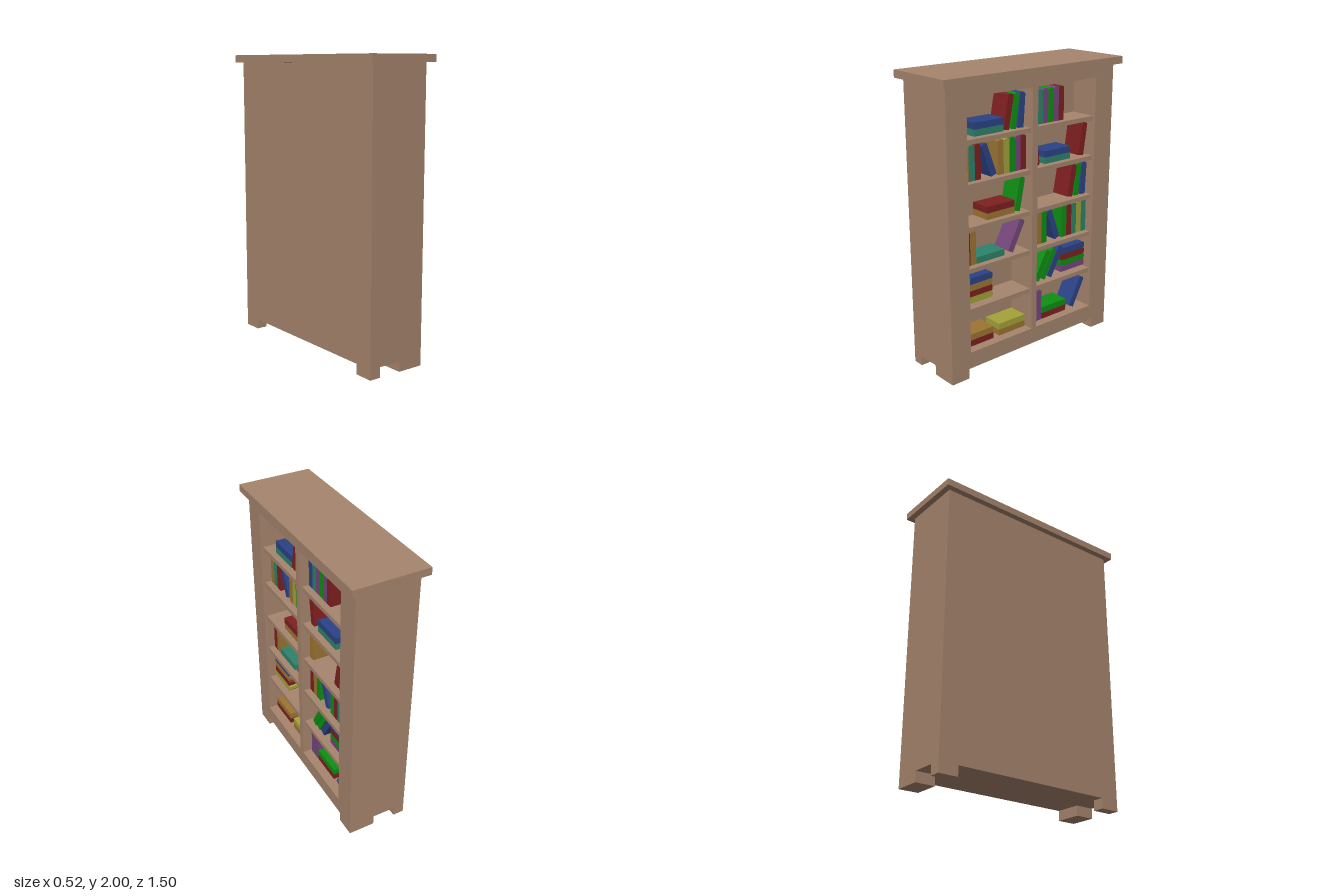
import * as THREE from 'three';

const mat = (name, color) => {
  const m = new THREE.MeshStandardMaterial({ color });
  m.name = name;
  return m;
};

export function createModel() {
  const wood = mat('wood', 0xa6856d);
  const red = mat('red', 0x7f1f20);
  const green = mat('green', 0x0f8f14);
  const blue = mat('blue', 0x2b4286);
  const teal = mat('teal', 0x2d836a);
  const purple = mat('purple', 0x75467c);
  const yellow = mat('yellow', 0xa5a23a);
  const ochre = mat('ochre', 0x9c7532);

  const model = new THREE.Group();
  model.name = 'bookcase';
  // Inner frame: u runs along the shelves (u = -z), depth runs along +x
  const inner = new THREE.Group();
  inner.name = 'case';
  inner.rotation.y = Math.PI / 2;
  model.add(inner);

  const add = (name, geo, material) => {
    const m = new THREE.Mesh(geo, material);
    m.name = name;
    inner.add(m);
    return m;
  };
  // Box from its limits in u, y and depth
  const box = (name, u0, u1, y0, y1, d0, d1, material = wood) => {
    const m = add(name, new THREE.BoxGeometry(u1 - u0, y1 - y0, d1 - d0), material);
    m.position.set((u0 + u1) / 2, (y0 + y1) / 2, (d0 + d1) / 2);
    return m;
  };
  const rect = (P, u0, u1, y0, y1) => new P().setFromPoints(
    [[u0, y0], [u1, y0], [u1, y1], [u0, y1]].map(([u, y]) => new THREE.Vector2(u, y))).closePath();

  // Carcass: open frame with two bays in front of a solid back
  const bays = [[-0.555, -0.025], [0.02, 0.547]];
  const face = rect(THREE.Shape, -0.71, 0.71, 0.07, 1.95);
  for (const [a, b] of bays) face.holes.push(rect(THREE.Path, a, b, 0.185, 1.87));
  add('frame', new THREE.ExtrudeGeometry(face, { depth: 0.212, bevelEnabled: false }), wood);
  box('back', -0.71, 0.71, 0.07, 1.95, -0.218, 0);
  box('top', -0.75, 0.75, 1.95, 2, -0.26, 0.257);
  for (const s of [-0.71, 0.573]) {
    box('frontFoot', s, s + 0.137, 0, 0.07, 0.025, 0.212);
    box('backFoot', s, s + 0.137, 0, 0.07, -0.218, -0.14);
  }

  // Shelves, set back a little from the frame
  const floors = [1.605, 1.325, 1.042, 0.763, 0.482];
  for (const y of floors)
    for (const [a, b] of bays) box('shelf', a, b, y - 0.031, y, 0, 0.192);

  // Book with a domed spine at the top of its profile
  const W = 0.046, H = 0.23, BACK = 0.003, FRONT = 0.147;
  const profile = new THREE.Shape([
    [-W / 2, 0], [W / 2, 0], [W / 2, H - 0.009], [W / 4, H], [-W / 4, H], [-W / 2, H - 0.009],
  ].map(([x, y]) => new THREE.Vector2(x, y)));
  const bookGeo = new THREE.ExtrudeGeometry(profile, { depth: FRONT - BACK, bevelEnabled: false });
  bookGeo.translate(0, 0, BACK);

  // Upright or leaning book; z is the middle of its foot, positive tilt leans to -z
  const book = (floor, z, color, tilt = 0) => {
    const m = add('book', bookGeo, color);
    m.position.set(-z, floor + Math.abs(Math.sin(tilt)) * W / 2, 0);
    m.rotation.z = -tilt;
  };
  const row = (floor, z, ...colors) => colors.forEach((c, i) => book(floor, z - i * 0.0475, c));
  // Lying books, listed from the bottom up
  const stack = (floor, z, ...colors) => colors.forEach((c, i) =>
    box('lyingBook', -z - 0.116, -z + 0.116, floor + i * 0.044, floor + (i + 1) * 0.044, BACK, FRONT, c));
  const domedStack = (floor, z, ...colors) => colors.forEach((c, i) => {
    const m = add('lyingBook', bookGeo, c);
    m.position.set(-z - 0.116, floor + (i + 0.5) * 0.044, 0);
    m.rotation.z = -Math.PI / 2;
  });

  const [f1, f2, f3, f4, f5] = floors;
  const f6 = 0.185;

  // First row
  stack(f1, 0.333, teal, blue);
  book(f1, 0.193, red, 0.19);
  book(f1, 0.135, green, 0.15);
  book(f1, 0.071, blue, 0.07);
  row(f1, -0.05, blue, teal, purple, green, purple, red);

  // Second row
  row(f2, 0.52, ochre, teal, red);
  book(f2, 0.296, blue, -0.36);
  row(f2, 0.238, ochre, yellow, green, purple, red);
  book(f2, -0.074, red, -0.13);
  stack(f2, -0.262, teal, blue);
  book(f2, -0.484, red, 0.15);

  // Third row
  stack(f3, 0.241, ochre, red);
  book(f3, 0.1, green, 0.2);
  row(f3, -0.05, ochre);
  book(f3, -0.384, red, 0.19);
  book(f3, -0.444, green, 0.12);
  book(f3, -0.51, blue, 0.05);

  // Fourth row
  row(f4, 0.52, red, ochre);
  stack(f4, 0.328, teal);
  book(f4, 0.159, purple, 0.48);
  row(f4, -0.05, red, ochre, green);
  book(f4, -0.27, blue, -0.36);
  row(f4, -0.334, green, red, teal, yellow, teal);

  // Fifth row
  domedStack(0.497, 0.429, yellow, red, ochre, blue);
  book(f5, -0.079, green, 0.51);
  book(f5, -0.135, green, 0.51);
  book(f5, -0.198, blue, 0.51);
  domedStack(0.497, -0.429, purple, green, red, blue);

  // Sixth row
  stack(f6, 0.429, red, ochre);
  stack(f6, 0.146, ochre, yellow);
  row(f6, -0.055, purple, purple);
  stack(f6, -0.249, red, green);
  book(f6, -0.423, blue, 0.48);

  return model;
}
